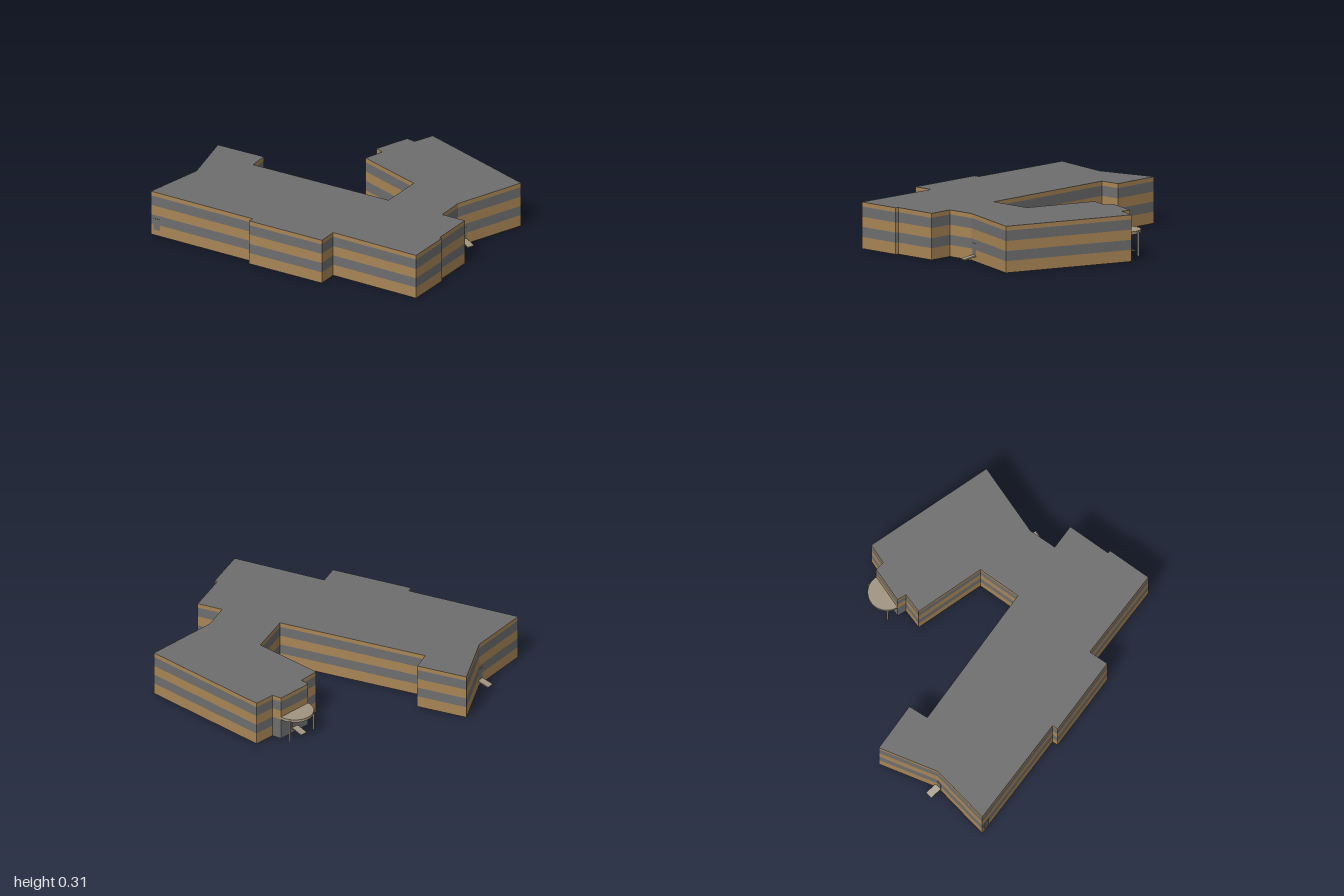
import * as THREE from 'three';

const mat = (name, color, extra = {}) => {
  const m = new THREE.MeshStandardMaterial({ color, ...extra });
  m.name = name;
  return m;
};

// Footprint corners as [x, z]
const OUTLINE = [
  [-1, -0.01], [-0.65, -0.015], [-0.645, 0.125], [0.39, 0.115], [0.395, -0.19],
  [-0.075, -0.35], [-0.03, -0.485], [-0.09, -0.51], [0, -0.745], [0.065, -0.735],
  [0.12, -0.87], [0.99, -0.565], [0.805, -0.08], [0.805, 0.115], [0.98, 0.115],
  [0.975, 0.42], [0.995, 0.425], [0.99, 0.735], [0.345, 0.725], [0.345, 0.865],
  [-0.215, 0.865], [-0.215, 0.825], [-1, 0.82], [-0.91, 0.4],
];
const HEIGHT = 0.31;
const ENTRANCE = [6, 7, 8]; // wall segments of the glazed entrance bay

// Wall ribbon between two heights, over the chosen outline segments
function wallBand(y0, y1, keep = () => true) {
  const pos = [];
  OUTLINE.forEach(([ax, az], i) => {
    if (!keep(i)) return;
    const [bx, bz] = OUTLINE[(i + 1) % OUTLINE.length];
    pos.push(ax, y0, az, ax, y1, az, bx, y1, bz, ax, y0, az, bx, y1, bz, bx, y0, bz);
  });
  const g = new THREE.BufferGeometry();
  g.setAttribute('position', new THREE.Float32BufferAttribute(pos, 3));
  g.computeVertexNormals();
  return g;
}

// Flat cap of the footprint, facing up (s = 1) or down (s = -1)
function cap(s, y) {
  const shape = new THREE.Shape(OUTLINE.map(([x, z]) => new THREE.Vector2(x, -s * z)));
  return new THREE.ShapeGeometry(shape).rotateX(-s * Math.PI / 2).translate(0, y, 0);
}

export function createModel() {
  const brick = mat('tan wall', 0xa88555);
  const grey = mat('grey glass and roof', 0x6e6e6e);
  const stone = mat('pale stone', 0xa19580);

  const model = new THREE.Group();
  model.name = 'building';
  const add = (name, geo, material, parent = model) => {
    const m = new THREE.Mesh(geo, material);
    m.name = name;
    parent.add(m);
    return m;
  };

  // Alternating wall and window bands
  const notEntrance = (i) => !ENTRANCE.includes(i);
  add('groundWall', wallBand(0, 0.078, notEntrance), brick);
  add('entranceGlazing', wallBand(0, 0.078, (i) => !notEntrance(i)), grey);
  add('lowerWindows', wallBand(0.078, 0.145), grey);
  add('middleWall', wallBand(0.145, 0.212), brick);
  add('upperWindows', wallBand(0.212, 0.28), grey);
  add('parapet', wallBand(0.28, HEIGHT), brick);
  add('roof', cap(1, HEIGHT), grey);
  add('base', cap(-1, 0), grey);

  // Doorway placed on a wall: local +z points outward along (nx, nz)
  const doorway = (name, x, z, nx, nz, ramp = true) => {
    const g = new THREE.Group();
    g.name = name;
    g.position.set(x, 0, z);
    g.rotation.y = Math.atan2(nx, nz);
    model.add(g);
    add('door', new THREE.BoxGeometry(0.05, 0.08, 0.006), grey, g).position.y = 0.08;
    if (ramp) {
      const r = add('ramp', new THREE.BoxGeometry(0.05, 0.008, 0.09), stone, g);
      r.position.set(0, 0.028, 0.042);
      r.rotation.x = 0.22;
    }
    return g;
  };
  doorway('frontDoorway', -0.953, 0.82, 0, 1, false);
  doorway('leftDoorway', 0.82, -0.12, 0.934, 0.356);
  doorway('rightDoorway', -0.911, 0.405, -0.975, -0.22);
  const entrance = doorway('mainEntrance', -0.045, -0.6275, -0.934, -0.358);

  // Half-round canopy on two posts
  add('canopy', new THREE.CylinderGeometry(0.126, 0.126, 0.02, 24, 1, false, -Math.PI / 2, Math.PI),
    stone, entrance).position.y = 0.155;
  for (const s of [-1, 1]) {
    add('canopyPost', new THREE.CylinderGeometry(0.007, 0.007, 0.155, 8), stone, entrance)
      .position.set(s * 0.11, 0.0775, 0.066);
  }
  return model;
}
